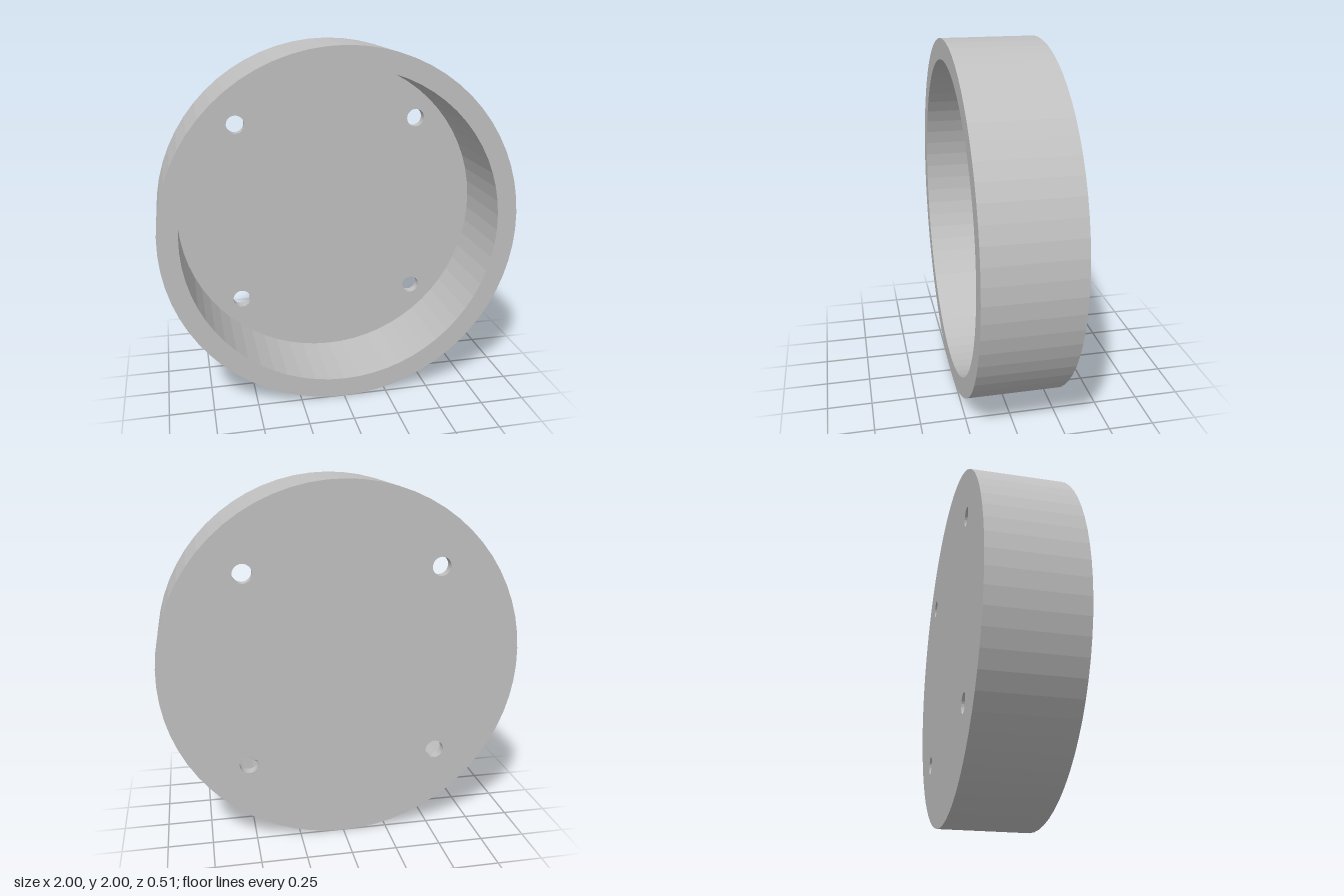
import * as THREE from 'three';

const OUTER = 1, INNER = 0.888, BACK = -0.256, FRONT = 0.256, FLOOR = BACK + 0.055;
const HOLE = 0.052, HOLE_POS = 0.533, SIDES = 66, HOLE_SIDES = 24;

// Points of a regular polygon with a corner at the bottom
function ring(radius, sides, cx = 0, cy = 0) {
  return Array.from({ length: sides }, (_, i) => {
    const a = -Math.PI / 2 + (i / sides) * Math.PI * 2;
    return new THREE.Vector2(cx + radius * Math.cos(a), cy + radius * Math.sin(a));
  });
}

// Faceted turned surface around the z axis, from [radius, z] pairs
function turned(profile, sides) {
  const points = profile.map(([r, z]) => new THREE.Vector2(r, z));
  const geometry = new THREE.LatheGeometry(points, sides).rotateX(Math.PI / 2).toNonIndexed();
  geometry.computeVertexNormals();
  return geometry;
}

export function createModel() {
  const gray = new THREE.MeshStandardMaterial({ color: 0xc0c0c0 });
  gray.name = 'gray';
  const group = new THREE.Group();
  group.name = 'roundCap';

  const add = (name, geometry) => {
    const mesh = new THREE.Mesh(geometry, gray);
    mesh.name = name;
    group.add(mesh);
    return mesh;
  };

  const centers = [[-1, -1], [1, -1], [1, 1], [-1, 1]].map(([x, y]) => [x * HOLE_POS, y * HOLE_POS]);

  // Flat disc pierced by the four screw holes
  const disc = (radius) => {
    const shape = new THREE.Shape(ring(radius, SIDES));
    for (const [x, y] of centers) shape.holes.push(new THREE.Path(ring(HOLE, HOLE_SIDES, x, y)));
    return new THREE.ShapeGeometry(shape);
  };

  // Outer wall, front lip and inner wall
  add('rimWall', turned([[OUTER, BACK], [OUTER, FRONT], [INNER, FRONT], [INNER, FLOOR]], SIDES));

  // Both faces of the base plate
  add('recessFloor', disc(INNER)).position.z = FLOOR;
  const back = add('backFace', disc(OUTER));
  back.rotation.y = Math.PI;
  back.position.z = BACK;

  // Walls of the screw holes, facing inward
  for (const [x, y] of centers) {
    add('screwHole', turned([[HOLE, FLOOR], [HOLE, BACK]], HOLE_SIDES)).position.set(x, y, 0);
  }

  // Stand the cap on the ground
  for (const mesh of group.children) mesh.position.y += OUTER;
  return group;
}
